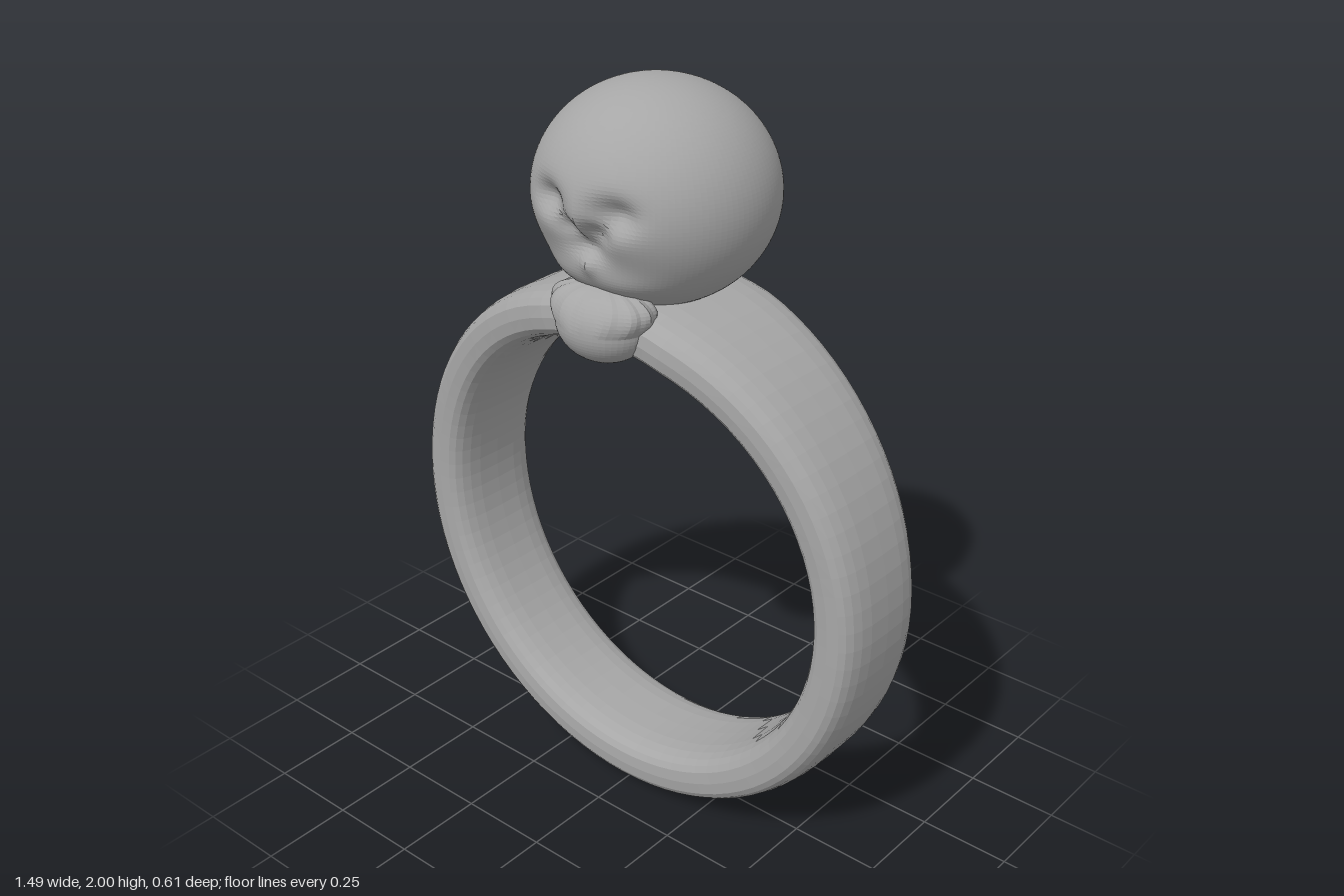
import * as THREE from 'three';

// Split shared vertices so every facet gets its own normal
function faceted(geometry) {
  const flat = geometry.index ? geometry.toNonIndexed() : geometry;
  flat.computeVertexNormals();
  return flat;
}

function reshape(geometry, rule) {
  const pos = geometry.attributes.position;
  const v = new THREE.Vector3();
  for (let i = 0; i < pos.count; i++) {
    v.fromBufferAttribute(pos, i);
    rule(v);
    pos.setXYZ(i, v.x, v.y, v.z);
  }
  return faceted(geometry);
}

const bump = (x, y, cx, cy, sx, sy) =>
  Math.exp(-(((x - cx) / sx) ** 2) - ((y - cy) / sy) ** 2);

// Finger band: rounded-rectangle section that widens towards the top
function bandGeometry() {
  const around = 88, section = 24, positions = [], index = [];
  const power = (c) => Math.sign(c) * Math.abs(c) ** 0.62;
  for (let i = 0; i < around; i++) {
    const a = (i / around) * Math.PI * 2;
    const x = Math.cos(a), y = Math.sin(a);
    const half = y > 0 ? Math.min(0.217, 0.155 + 0.088 * (1 - Math.abs(x))) : 0.155;
    for (let j = 0; j < section; j++) {
      const b = (j / section) * Math.PI * 2;
      const r = 0.673 + 0.073 * power(Math.cos(b));
      positions.push(r * x, 0.75 + r * y, 0.003 + half * power(Math.sin(b)));
      const i2 = (i + 1) % around, j2 = (j + 1) % section;
      const p = i * section + j, q = i2 * section + j;
      const s = i2 * section + j2, t = i * section + j2;
      index.push(p, q, s, p, s, t);
    }
  }
  const g = new THREE.BufferGeometry();
  g.setAttribute('position', new THREE.Float32BufferAttribute(positions, 3));
  g.setIndex(index);
  return faceted(g);
}

// Round head with eye hollows, slanting creases and a sunken lower face
function headGeometry() {
  return reshape(new THREE.SphereGeometry(1, 120, 90), (v) => {
    const front = THREE.MathUtils.smoothstep(v.z, 0.15, 0.6);
    v.set(v.x * 0.311, 1.72 + v.y * 0.281, v.z * 0.307);
    const ax = Math.abs(v.x);
    const eyes = 0.045 * bump(ax, v.y, 0.1, 1.745, 0.055, 0.04);
    const creases = 0.035 * bump(ax, v.y, 0.045, 1.69, 0.04, 0.03);
    const mouth = 0.04 * bump(ax, v.y, 0, 1.645, 0.06, 0.035);
    const nose = 0.016 * bump(ax, v.y, 0, 1.6, 0.022, 0.03);
    const lower = 0.025 * bump(ax, v.y, 0, 1.62, 0.16, 0.07);
    const cheeks = 0.012 * bump(ax, v.y, 0.1, 1.55, 0.08, 0.04);
    v.z += front * (nose + cheeks - eyes - creases - mouth - lower);
  });
}

// Small rounded chin drop with a wider, ruffled upper edge
function chinGeometry() {
  return reshape(new THREE.SphereGeometry(1, 48, 32), (v) => {
    const up = Math.max(0, v.y);
    const ruffle = 1 + 0.05 * up * Math.sin(Math.atan2(v.x, v.z) * 13);
    v.set(
      v.x * 0.13 * (1 + 0.65 * up) * ruffle,
      1.435 + v.y * 0.1,
      0.2 + v.z * 0.105 * ruffle
    );
  });
}

export function createModel() {
  const metal = new THREE.MeshStandardMaterial({ color: 0xa6a6a6 });
  metal.name = 'grey metal';
  const model = new THREE.Group();
  model.name = 'ring';
  const parts = { band: bandGeometry(), head: headGeometry(), chin: chinGeometry() };
  for (const [name, geometry] of Object.entries(parts)) {
    const mesh = new THREE.Mesh(geometry, metal);
    mesh.name = name;
    model.add(mesh);
  }
  return model;
}
